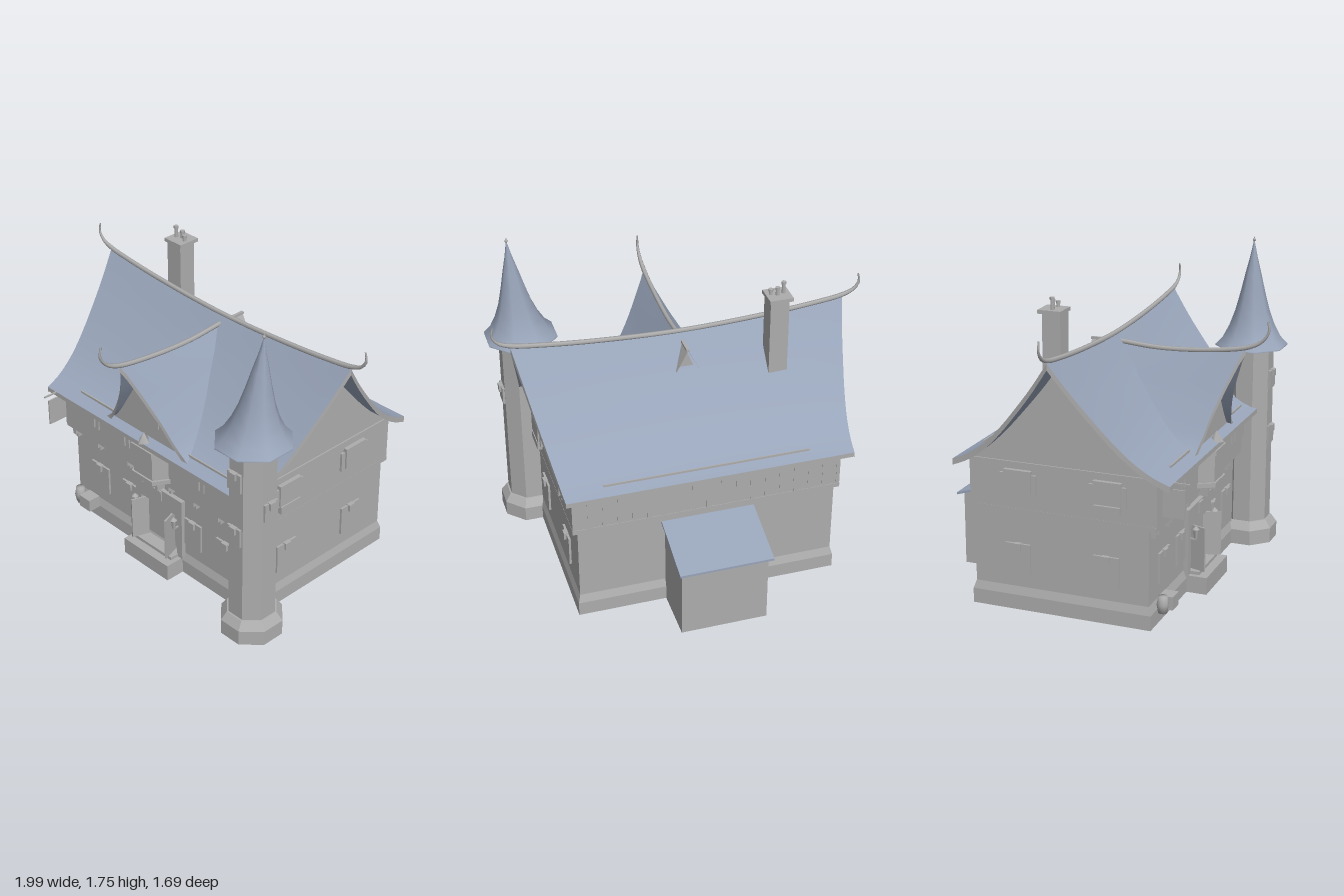
import * as THREE from 'three';

const stone = new THREE.MeshStandardMaterial({ color: 0xadadad, side: THREE.DoubleSide });
stone.name = 'stone grey';
const slate = new THREE.MeshStandardMaterial({ color: 0x98a4b9, side: THREE.DoubleSide });
slate.name = 'slate blue';

const V3 = (x, y, z) => new THREE.Vector3(x, y, z);
const V2 = (x, y) => new THREE.Vector2(x, y);
const FRONT = 0.458; // ground floor front wall
const JETTY = 0.505; // upper floor front wall

export function createModel() {
  const root = new THREE.Group();
  root.name = 'house';

  function add(name, geo, mat = stone, parent = root) {
    const m = new THREE.Mesh(geo, mat);
    m.name = name;
    parent.add(m);
    return m;
  }
  // box given by its extents
  function box(name, x0, x1, y0, y1, z0, z1, parent = root) {
    const g = new THREE.BoxGeometry(x1 - x0, y1 - y0, z1 - z0);
    g.translate((x0 + x1) / 2, (y0 + y1) / 2, (z0 + z1) / 2);
    return add(name, g, stone, parent);
  }
  // surface from a rule f(u, v), u and v from 0 to 1
  function sheet(name, f, nu, nv, mat, flip = false, flat = false) {
    const pos = [], idx = [];
    for (let i = 0; i <= nu; i++) for (let j = 0; j <= nv; j++) pos.push(...f(i / nu, j / nv));
    for (let i = 0; i < nu; i++) for (let j = 0; j < nv; j++) {
      const a = i * (nv + 1) + j, b = a + 1, c = a + nv + 1, d = c + 1;
      if (flip) idx.push(a, c, b, b, c, d); else idx.push(a, b, c, b, d, c);
    }
    let g = new THREE.BufferGeometry();
    g.setAttribute('position', new THREE.Float32BufferAttribute(pos, 3));
    g.setIndex(idx);
    if (flat) g = g.toNonIndexed();
    g.computeVertexNormals();
    return add(name, g, mat);
  }
  // open rectangular shell through rings [x half width, back z, front z, y]
  function shell(name, rings) {
    const n = rings.length - 1;
    sheet(name, (u, v) => {
      const [x, z0, z1, y] = rings[Math.round(v * n)], c = Math.round(u * 4) % 4;
      return [c === 1 || c === 2 ? x : -x, y, c < 2 ? z1 : z0];
    }, 4, n, stone, true, true);
  }
  // tube that thins out towards its raised tips
  function taperedTube(name, pts, r, taper) {
    const path = new THREE.CatmullRomCurve3(pts);
    const g = new THREE.TubeGeometry(path, 80, r, 6, false), p = g.attributes.position;
    for (let i = 0; i < p.count; i++) {
      const t = Math.floor(i / 7) / 80, c = path.getPointAt(t);
      const v = V3(0, 0, 0).fromBufferAttribute(p, i).sub(c).multiplyScalar(taper(t)).add(c);
      p.setXYZ(i, v.x, v.y, v.z);
    }
    add(name, g);
  }
  const lathe = points => new THREE.LatheGeometry(points.map(p => V2(...p)), 8, Math.PI / 8);

  // ground floor on a hollow, sloping plinth
  box('groundFloor', -0.705, 0.705, 0.115, 0.55, -0.505, FRONT);
  shell('plinth', [[0.717, -0.52, FRONT + 0.015, 0], [0.717, -0.52, FRONT + 0.015, 0.08], [0.705, -0.505, FRONT, 0.125]]);

  // timbered upper floor, overhanging at the front
  box('upperFloor', -0.727, 0.727, 0.54, 0.81, -0.51, JETTY - 0.006);
  box('lowerBeam', -0.733, 0.733, 0.54, 0.565, -0.516, JETTY);
  box('upperBeam', -0.733, 0.733, 0.8, 0.815, -0.516, JETTY);
  for (let i = 0; i <= 18; i++) {
    const x = -0.722 + i * 1.444 / 18;
    box('stud', x - 0.01, x + 0.01, 0.56, 0.805, -0.515, JETTY - 0.001);
  }
  for (let i = 0; i <= 12; i++) {
    const z = -0.503 + i * (JETTY + 0.497) / 12;
    box('stud', -0.732, 0.732, 0.56, 0.805, z - 0.01, z + 0.01);
  }

  // main roof: flared slopes with a sagging ridge
  const roofLine = new THREE.SplineCurve([[0, 1.395], [0.1, 1.255], [0.2, 1.13], [0.3, 1.013],
    [0.4, 0.915], [0.5, 0.845], [0.59, 0.805]].map(p => V2(...p)));
  const roofPoint = (u, t, s, drop = 0) => {
    const p = roofLine.getPoint(t), k = u * 2 - 1;
    const half = 0.9 - 0.125 * (1.395 - p.y) / 0.59;
    return [k * half, p.y - 0.05 * (1 - k * k) * (1 - t) - drop, s * p.x];
  };
  const TH = 0.026;
  for (const s of [-1, 1]) {
    sheet('roofSlope', (u, v) => roofPoint(u, v, s), 20, 14, slate, s < 0);
    sheet('roofUnderside', (u, v) => roofPoint(u, v, s, TH), 20, 14, slate, s > 0);
    sheet('eaveBoard', (u, v) => roofPoint(u, 1, s, v * TH), 20, 1, stone, s < 0);
    for (const e of [0, 1])
      sheet('bargeBoard', (u, v) => roofPoint(e, u, s, v * (TH + 0.008)), 14, 1, stone, (s > 0) !== (e > 0));
    // gable wall under the roof line
    const shape = new THREE.Shape();
    shape.moveTo(-0.505, 0.8);
    for (let i = -12; i <= 12; i++) {
      const p = roofLine.getPoint(Math.abs(i) / 12 * 0.85);
      shape.lineTo(Math.sign(i) * p.x, p.y - 0.03);
    }
    shape.lineTo(0.505, 0.8);
    const g = new THREE.ExtrudeGeometry(shape, { depth: 0.03, bevelEnabled: false }).rotateY(Math.PI / 2);
    add('gableWall', g).position.x = s > 0 ? 0.695 : -0.725;
  }
  const half = [[0.45, 1.362], [0.75, 1.388], [0.9, 1.41], [0.965, 1.437], [0.993, 1.48], [0.985, 1.525]];
  taperedTube('ridge', [...half.slice().reverse().map(p => V3(-p[0], p[1], 0)), V3(0, 1.345, 0),
    ...half.map(p => V3(p[0], p[1], 0))], 0.013, t => Math.min(1, 0.35 + 8 * Math.min(t, 1 - t)));

  // snow bars on the slopes
  box('snowBar', -0.545, 0.565, 0.826, 0.838, -0.533, -0.526);
  for (const s of [-1, 1]) box('snowBar', s * 0.43 - 0.143, s * 0.43 + 0.143, 0.828, 0.842, 0.514, 0.522);

  // front dormer
  const dormerLine = new THREE.SplineCurve([[0, 1.285], [0.055, 1.19], [0.11, 1.09], [0.165, 1.0],
    [0.225, 0.905], [0.27, 0.85], [0.32, 0.81]].map(p => V2(...p)));
  const valleyZ = y => {
    let t = 0;
    while (t < 1 && roofPoint(0.5, t, 1)[1] > y) t += 0.01;
    return roofLine.getPoint(Math.min(t, 1)).x - 0.02;
  };
  const dormerPoint = (u, t, s, drop = 0) => {
    const p = dormerLine.getPoint(t);
    const z0 = Math.min(valleyZ(p.y), 0.54), z1 = 0.557 + 0.16 * (1 - t) ** 2;
    const z = z0 + (z1 - z0) * u;
    return [s * p.x, p.y + 0.035 * ((z - 0.25) / 0.47) ** 2 * (1 - t) - drop, z];
  };
  for (const s of [-1, 1]) {
    sheet('dormerSlope', (u, v) => dormerPoint(u, v, s), 12, 12, slate, s > 0);
    sheet('dormerUnderside', (u, v) => dormerPoint(u, v, s, 0.02), 12, 12, slate, s < 0);
    sheet('dormerBarge', (u, v) => dormerPoint(1, u, s, v * 0.032), 12, 1, stone, s < 0);
  }
  const gable = new THREE.Shape();
  gable.moveTo(-0.29, 0.8);
  for (let i = -12; i <= 12; i++) {
    const p = dormerLine.getPoint(Math.abs(i) / 12 * 0.9);
    gable.lineTo(Math.sign(i) * p.x, p.y - 0.02);
  }
  gable.lineTo(0.29, 0.8);
  add('dormerGable', new THREE.ExtrudeGeometry(gable, { depth: 0.04, bevelEnabled: false })).position.z = 0.495;
  box('dormerWindow', -0.077, 0.077, 0.9, 1.05, 0.53, 0.54);
  taperedTube('dormerRidge', [[1.3, 0.02], [1.283, 0.25], [1.295, 0.5], [1.328, 0.72], [1.365, 0.8],
    [1.42, 0.838], [1.475, 0.833]].map(p => V3(0, ...p)), 0.013, t => Math.min(1, 0.35 + 3 * (1 - t)));

  // small rear roof vent
  for (const s of [-1, 1])
    sheet('ventSlope', (u, v) => [s * v * 0.062, 1.3 - v * 0.12, -0.14 + u * (0.11 - 0.04 * v)], 1, 1, stone, s > 0);
  sheet('ventFace', (u, v) => [(u * 2 - 1) * v * 0.045, 1.285 - v * 0.11, -0.115], 4, 1, stone);
  box('ventRidge', -0.008, 0.008, 1.295, 1.308, -0.142, -0.035);

  // chimney with three pots
  box('chimney', -0.53, -0.428, 1.05, 1.55, -0.19, -0.09);
  box('chimneyCap', -0.545, -0.417, 1.545, 1.565, -0.21, -0.083);
  [[-0.513, 1.63, -0.14], [-0.476, 1.61, -0.152], [-0.444, 1.597, -0.138]].forEach(([x, y, z]) => {
    const h = y - 1.56;
    add('chimneyPot', new THREE.CylinderGeometry(0.009, 0.011, h, 8)).position.set(x, 1.56 + h / 2, z);
    add('potRim', new THREE.CylinderGeometry(0.013, 0.013, 0.014, 8)).position.set(x, y - 0.007, z);
  });

  // octagonal corner tower, hollow below
  const tower = new THREE.Group();
  tower.name = 'tower';
  tower.position.set(0.75, 0, 0.518);
  root.add(tower);
  const shaft = lathe([[0.171, 0], [0.171, 0.085], [0.138, 0.13], [0.129, 0.131], [0.126, 1.16]]).toNonIndexed();
  shaft.computeVertexNormals();
  add('towerShaft', shaft, stone, tower);
  // leaning, smooth spire with a flared rim
  const spire = lathe([[0.203, 1.145], [0.203, 1.152], [0.163, 1.193], [0.127, 1.26],
    [0.097, 1.34], [0.07, 1.44], [0.044, 1.55], [0.021, 1.64], [0.004, 1.72]]);
  const pp = spire.attributes.position;
  for (let i = 0; i < pp.count; i++) {
    const k = Math.max(0, (pp.getY(i) - 1.152) / 0.57);
    pp.setX(i, pp.getX(i) + 0.047 * k);
    pp.setZ(i, pp.getZ(i) - 0.013 * k);
  }
  add('spire', spire, slate, tower);
  add('spireUnderside', lathe([[0.12, 1.15], [0.203, 1.145]]), slate, tower);
  add('finialRod', new THREE.CylinderGeometry(0.003, 0.004, 0.05, 6), stone, tower).position.set(0.047, 1.725, -0.013);
  add('finialBall', new THREE.SphereGeometry(0.009, 8, 6), stone, tower).position.set(0.047, 1.735, -0.013);

  // windows: built facing +z, then turned and placed on a wall
  function place(name, x, z, turn) {
    const g = new THREE.Group();
    g.name = name;
    g.position.set(x, 0, z);
    g.rotation.y = turn;
    root.add(g);
    return g;
  }
  function stoneWindow(x, z, turn, w = 0.145, y = 0.2, h = 0.165) {
    const g = place('stoneWindow', x, z, turn);
    box('surround', -w / 2, w / 2, y, y + h, -0.01, 0.012, g);
    box('keystone', -0.02, 0.02, y + h - 0.035, y + h + 0.004, 0, 0.025, g);
  }
  function timberWindow(x, z, turn, planter) {
    const g = place('timberWindow', x, z, turn);
    box('shutters', -0.1, 0.1, 0.645, 0.755, -0.01, 0.012, g);
    box('frame', -0.075, 0.075, 0.655, 0.777, -0.01, 0.022, g);
    if (planter) box('planter', -0.07, 0.07, 0.608, 0.65, -0.01, 0.025, g);
  }
  for (const s of [-1, 1]) {
    stoneWindow(s * 0.503, FRONT, 0);
    stoneWindow(s * 0.252, FRONT, 0, 0.125);
    timberWindow(s * 0.54, JETTY, 0, false);
    timberWindow(s * 0.29, JETTY, 0, false);
    for (const z of [-0.26, 0.23]) {
      stoneWindow(s * 0.705, z, s * Math.PI / 2, 0.14);
      timberWindow(s * 0.733, z + 0.02, s * Math.PI / 2, z > 0);
    }
  }
  stoneWindow(0.745, 0.637, 0, 0.09, 0.91, 0.105);
  stoneWindow(0.745, 0.637, 0, 0.09, 0.585, 0.105);
  stoneWindow(0.868, 0.518, Math.PI / 2, 0.09, 0.745, 0.1);

  // entrance: steps, portal, open doors, lanterns
  box('doorStep', -0.175, 0.175, 0, 0.095, FRONT, 0.585);
  box('upperStep', -0.15, 0.15, 0.09, 0.113, FRONT, 0.535);
  const portal = new THREE.Shape([V2(-0.183, 0.09), V2(0.183, 0.09), V2(0.183, 0.465), V2(-0.183, 0.465)]);
  portal.holes.push(new THREE.Path([V2(-0.14, 0.11), V2(-0.14, 0.36), V2(0.14, 0.36), V2(0.14, 0.11)]));
  add('portal', new THREE.ExtrudeGeometry(portal, { depth: 0.03, bevelEnabled: false })).position.z = FRONT - 0.005;
  box('keyPlaque', -0.03, 0.03, 0.4, 0.46, FRONT + 0.01, FRONT + 0.034);
  for (const s of [-1, 1]) {
    const door = box('doorLeaf', -0.005, 0.005, 0.113, 0.36, -0.1, 0);
    door.position.set(s * 0.135, 0, 0.56);
    door.rotation.y = s * 0.33;
    add('lantern', new THREE.CylinderGeometry(0.016, 0.01, 0.05, 6)).position.set(s * 0.155, 0.33, 0.515);
    add('lanternCap', new THREE.ConeGeometry(0.02, 0.02, 6)).position.set(s * 0.155, 0.365, 0.515);
    box('lanternArm', s * 0.155 - 0.004, s * 0.155 + 0.004, 0.295, 0.303, 0.475, 0.52);
  }

  // oriel above the door
  const bay = (w0, w1, d) => new THREE.Shape([V2(-w0, 0), V2(w0, 0), V2(w1, -d), V2(-w1, -d)]);
  const oriel = (name, w0, w1, d, y, h) => add(name, new THREE.ExtrudeGeometry(bay(w0, w1, d),
    { depth: h, bevelEnabled: false }).rotateX(-Math.PI / 2)).position.set(0, y, 0.5);
  oriel('oriel', 0.122, 0.072, 0.085, 0.58, 0.19);
  oriel('orielSill', 0.135, 0.08, 0.095, 0.575, 0.025);
  oriel('orielCornice', 0.135, 0.08, 0.095, 0.75, 0.025);
  add('orielCrest', new THREE.ConeGeometry(0.04, 0.06, 4)).position.set(0, 0.835, 0.57);

  // stepped corbels below the jetty
  const corbel = (x, y) => {
    box('corbel', x - 0.012, x + 0.012, y + 0.025, y + 0.055, FRONT, JETTY);
    box('corbelFoot', x - 0.009, x + 0.009, y, y + 0.025, FRONT, FRONT + 0.028);
  };
  for (const x of [-0.67, -0.48, -0.235, 0.097, 0.29, 0.475]) corbel(x, 0.485);
  for (const x of [-0.06, 0.06]) box('orielCorbel', x - 0.01, x + 0.01, 0.515, 0.575, 0.495, 0.55);

  // barrel, crate and hanging sign
  add('barrel', new THREE.LatheGeometry([[0, 0], [0.024, 0], [0.032, 0.045], [0.024, 0.09], [0, 0.09]]
    .map(p => V2(...p)), 12)).position.set(-0.64, 0.078, 0.51);
  box('crate', -0.6, -0.515, 0.078, 0.15, 0.475, 0.55);
  box('signArm', -0.709, -0.701, 0.798, 0.806, JETTY, 0.67);
  box('signBoard', -0.709, -0.701, 0.62, 0.77, 0.53, 0.645);

  // rear lean-to, open below
  shell('leanTo', [[0.235, -0.81, -0.505, 0], [0.235, -0.81, -0.505, 0.425], [0, -0.66, -0.66, 0.425]]);
  const shed = new THREE.Shape([V2(0.5, 0.518), V2(0.845, 0.415), V2(0.845, 0.402), V2(0.5, 0.505)]);
  add('leanToRoof', new THREE.ExtrudeGeometry(shed, { depth: 0.508, bevelEnabled: false })
    .rotateY(Math.PI / 2), slate).position.x = -0.254;

  return root;
}
